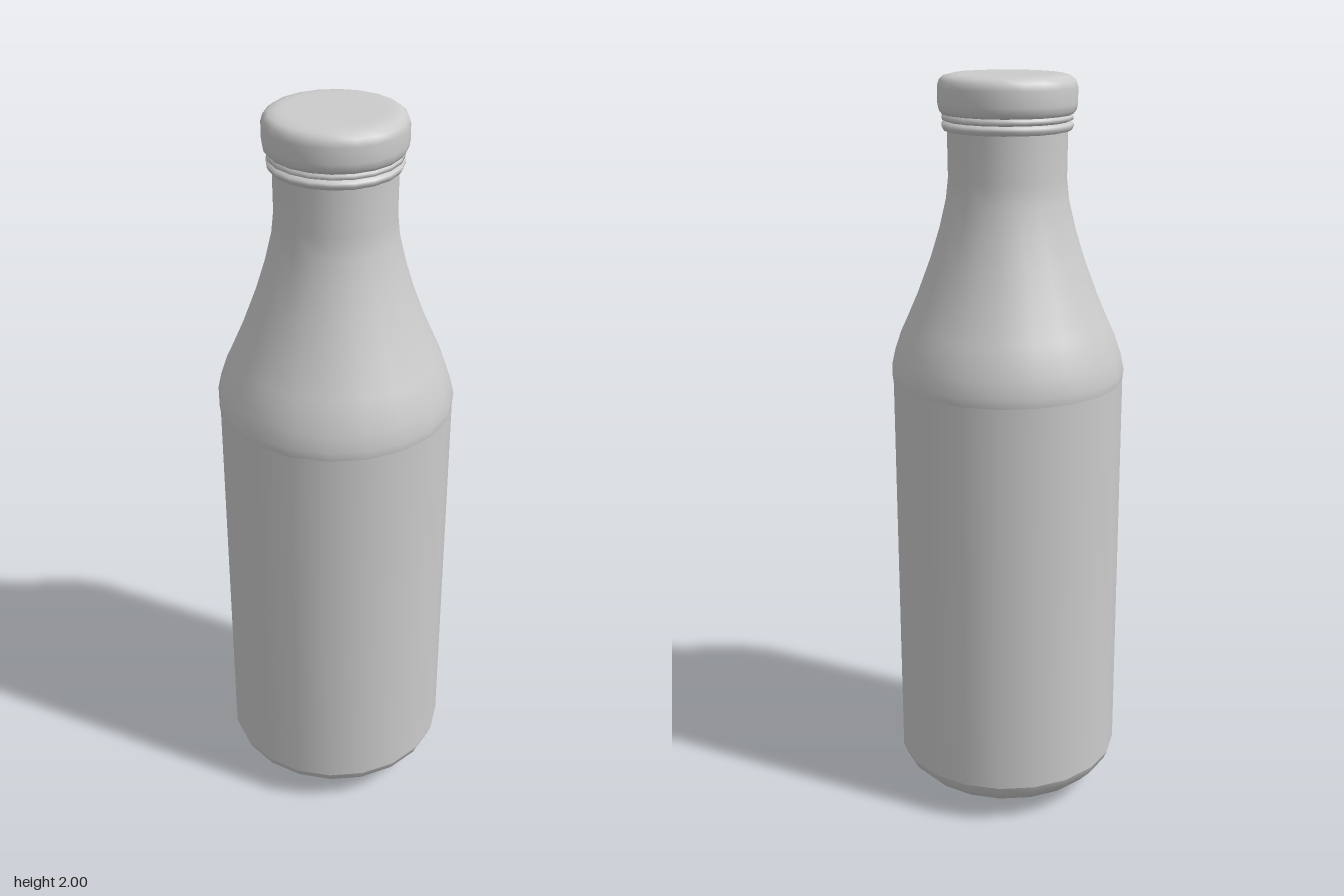
import * as THREE from 'three';

const SIDES = 20;

export function createModel() {
  const bottle = new THREE.Group();
  bottle.name = 'bottle';
  const material = new THREE.MeshStandardMaterial({ color: 0xcccccc });

  // Turn a [radius, height] profile, listed from bottom to top, around y
  const turned = (name, profile) => {
    const points = profile.map(([r, y]) => new THREE.Vector2(r, y));
    const mesh = new THREE.Mesh(new THREE.LatheGeometry(points, SIDES), material);
    mesh.name = name;
    bottle.add(mesh);
  };

  // Rounded base
  turned('base', [[0, 0], [0.13, 0.003], [0.2, 0.018], [0.27, 0.058], [0.3, 0.09], [0.31, 0.115]]);

  // Straight body wall
  turned('body', [[0.31, 0.115], [0.31, 1.21]]);

  // Shoulder sweeping up into the neck
  turned('shoulder', [
    [0.31, 1.21], [0.313, 1.235], [0.303, 1.28], [0.286, 1.33], [0.272, 1.36], [0.239, 1.435],
    [0.203, 1.53], [0.178, 1.61], [0.16, 1.685], [0.154, 1.74], [0.155, 1.86],
  ]);

  // Seal ring on the neck, with a groove above it
  turned('sealRing', [[0.155, 1.86], [0.164, 1.862], [0.169, 1.871], [0.169, 1.879], [0.158, 1.884]]);
  turned('capLip', [[0.158, 1.884], [0.168, 1.888], [0.168, 1.897], [0.16, 1.903]]);

  // Rounded screw cap
  turned('cap', [
    [0.155, 1.9], [0.168, 1.902], [0.176, 1.912], [0.179, 1.928], [0.179, 1.968],
    [0.174, 1.985], [0.162, 1.995], [0.142, 2], [0.12, 2], [0, 2],
  ]);

  return bottle;
}
